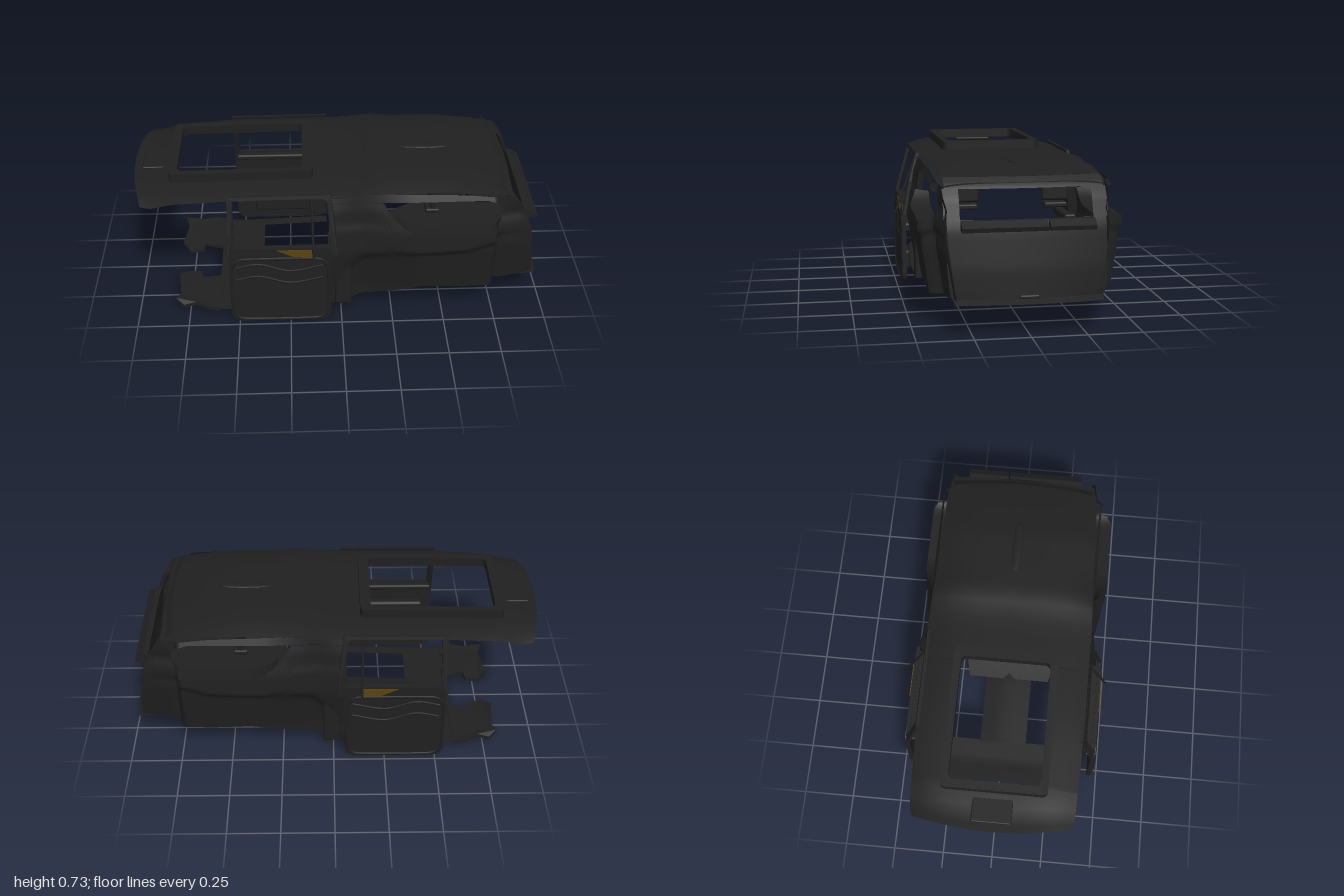
import * as THREE from 'three';
import { RoundedBoxGeometry } from 'three/addons/geometries/RoundedBoxGeometry.js';

const trim = new THREE.MeshStandardMaterial({ color: 0x202020, side: THREE.DoubleSide });
const gold = new THREE.MeshStandardMaterial({ color: 0x5a4510, side: THREE.DoubleSide });

// piecewise linear lookup through [key, value] pairs
function at(t, pts) {
  if (t <= pts[0][0]) return pts[0][1];
  for (let i = 1; i < pts.length; i++) {
    const [a, va] = pts[i - 1], [b, vb] = pts[i];
    if (t <= b) return va + (vb - va) * (t - a) / (b - a);
  }
  return pts[pts.length - 1][1];
}
const steps = (a, b, n) => Array.from({ length: n + 1 }, (_, i) => a + (b - a) * i / n);

// surface through a grid of points, us by vs
function sheet(us, vs, fn) {
  const pos = [], index = [], n = vs.length;
  us.forEach(u => vs.forEach(v => pos.push(...fn(u, v))));
  for (let i = 0; i < us.length - 1; i++) for (let j = 0; j < n - 1; j++) {
    const a = i * n + j, b = a + n;
    index.push(a, b, a + 1, b, b + 1, a + 1);
  }
  const g = new THREE.BufferGeometry();
  g.setAttribute('position', new THREE.Float32BufferAttribute(pos, 3));
  g.setIndex(index);
  g.computeVertexNormals();
  return g;
}
function roundRect(C, x0, y0, x1, y1, r) {
  const s = new C();
  s.moveTo(x0 + r, y0).lineTo(x1 - r, y0).quadraticCurveTo(x1, y0, x1, y0 + r);
  s.lineTo(x1, y1 - r).quadraticCurveTo(x1, y1, x1 - r, y1);
  s.lineTo(x0 + r, y1).quadraticCurveTo(x0, y1, x0, y1 - r);
  s.lineTo(x0, y0 + r).quadraticCurveTo(x0, y0, x0 + r, y0);
  return s;
}
const extrude = (shape, depth) =>
  new THREE.ExtrudeGeometry(shape, { depth, bevelEnabled: false, curveSegments: 6 });
const polygon = pts => new THREE.Shape(pts.map(p => new THREE.Vector2(p[0], p[1])));
// move every vertex by a rule
function bend(g, rule) {
  const p = g.attributes.position;
  for (let i = 0; i < p.count; i++) p.setXYZ(i, ...rule(p.getX(i), p.getY(i), p.getZ(i)));
  g.computeVertexNormals();
  return g;
}

// headliner form
const roofHalf = x => at(x, [[-1, .37], [-.95, .385], [-.6, .395], [0, .4], [.2, .392], [.72, .38], [.82, .36]]);
const roofY = (x, z) => at(x, [[-1, .672], [-.93, .668], [-.8, .686], [-.5, .694], [0, .697], [.1, .704],
  [.16, .72], [.5, .717], [.65, .695], [.82, .662]])
  - at(x, [[-1, .045], [-.5, .027], [.1, .027], [.3, .04], [.6, .03], [.82, .015]]) * Math.abs(z / roofHalf(x)) ** 4;
const sunHole = x => at(x, [[-.781, 0], [-.78, .19], [-.765, .215], [-.195, .215], [-.18, .19], [-.179, 0]]);

// rear side trim form
const sideTop = x => at(x, [[-.05, .675], [.2, .68], [.6, .67], [.78, .655], [.84, .64], [.9, .53], [.93, .42], [.95, .2]]);
const sideBottom = x => at(x, [[-.05, .055], [.05, .06], [.1, .09], [.25, .12], [.4, .16], [.6, .15], [.95, .17]]);
const winLow = x => at(x, [[.2, .64], [.24, .575], [.3, .52], [.38, .488], [.73, .488], [.76, .515], [.775, .58]]);
const winHigh = x => at(x, [[.2, .642], [.7, .645], [.74, .63], [.775, .58]]);
const ledge = x => at(x, [[-.02, .06], [.04, .28], [.1, .35], [.25, .385], [.6, .4], [.78, .46]]);
const unit = t => Math.min(1, Math.max(0, t));
function sideZ(x, y) {
  const base = at(y, [[.15, .435], [.38, .47], [.5, .463], [.6, .428], [.68, .387]]);
  const waist = at(x, [[-.06, .025], [.08, .05], [.35, 0]]) * unit((.68 - y) / .15);
  const tuck = at(x, [[.735, 0], [.752, .065], [.95, .112]]) * at(y, [[.55, 1], [.66, .35]]);
  return base - waist - tuck - .022 * unit((ledge(x) - y) / .02) * at(x, [[.74, 1], [.8, .3]]);
}

// tailgate form
const gateX = (y, z) => at(y, [[.155, .955], [.3, .945], [.48, .92], [.6, .87], [.655, .825], [.685, .785]])
  - .03 * (z / .35) ** 2;
const gateWide = y => at(y, [[.155, .92], [.19, .97], [.3, 1]]);

export function createModel() {
  const model = new THREE.Group();
  const add = (name, geometry, parent = model, material = trim) => {
    const m = new THREE.Mesh(geometry, material);
    m.name = name;
    parent.add(m);
    return m;
  };

  // headliner, two halves around the sunroof opening
  const roofXs = [-1, -.97, -.93, -.88, -.83, -.781, -.78, -.765, ...steps(-.7, -.25, 6), -.195, -.18, -.179, ...steps(-.1, .82, 20)];
  for (const s of [1, -1]) add('headliner', sheet(roofXs, steps(0, 1, 10), (x, v) => {
    const h = sunHole(x), z = s * (h + (roofHalf(x) - h) * v);
    const bow = .05 * Math.max(0, (-.8 - x) / .2) * (z / .37) ** 2;
    return [x + bow, roofY(x, z), z];
  }));

  // sunroof surround, slightly tilted up to the rear
  const ring = roundRect(THREE.Shape, -.82, -.25, -.13, .25, .03);
  ring.holes.push(roundRect(THREE.Path, -.78, -.215, -.18, .215, .03));
  add('sunroofSurround', bend(extrude(ring, .045).rotateX(-Math.PI / 2),
    (x, y, z) => [x, y + .687 + .015 * (x + .48), z]));

  // overhead console and centre roof rib
  add('overheadConsole', new RoundedBoxGeometry(.16, .015, .19, 2, .006)).position.set(-.88, .672, 0);
  const rib = add('roofRib', new THREE.SphereGeometry(1, 20, 10));
  rib.scale.set(.14, .008, .025);
  rib.position.set(.42, .716, 0);

  const sideXs = [...steps(-.06, .2, 10), ...steps(.22, .72, 18), .735, .744, .752, .76, .768, .775, .79, ...steps(.81, .95, 6)];
  for (const s of [1, -1]) {
    const side = new THREE.Group();
    side.name = s > 0 ? 'leftSide' : 'rightSide';
    model.add(side);

    // rear side trim below and above the quarter window
    add('rearSideTrim', sheet(sideXs, steps(0, 1, 28), (x, v) => {
      const b = sideBottom(x), y = b + (Math.min(winLow(x), sideTop(x)) - b) * v;
      return [x, y, s * sideZ(x, y)];
    }), side);
    add('quarterWindowHeader', sheet(sideXs, steps(0, 1, 4), (x, v) => {
      const b = Math.min(winHigh(x), sideTop(x)), y = b + (sideTop(x) - b) * v;
      return [x, y, s * sideZ(x, y)];
    }), side);
    // sill inside the quarter window
    add('quarterWindowSill', sheet([...steps(.26, .74, 14), .75, .765], [0, .5, 1], (x, v) => {
      const y = winLow(x), z = sideZ(x, y);
      return [x, y - .012 * v, s * (z + (.365 - z) * v)];
    }), side);
    // centre pillar: lower cover and inward return
    add('pillarCover', new RoundedBoxGeometry(.08, .31, .06, 2, .01), side).position.set(.01, .215, s * .385);
    add('pillarReturn', sheet(steps(.06, .67, 14), [0, 1],
      (y, v) => [-.055 + .05 * v, y, s * (sideZ(-.06, y) - .06 * v)]), side);

    // front door: lower panel, shelf, armrest, seal and leaning window frame
    const door = new THREE.Group();
    door.name = 'frontDoor';
    side.add(door);
    const panel = roundRect(THREE.Shape, -.54, .012, -.052, .44, .06);
    add('doorPanel', extrude(panel, .02).translate(0, 0, s > 0 ? .45 : -.47), door);
    const sealPts = roundRect(THREE.Path, -.53, .022, -.065, .38, .07).getPoints(5).slice(0, -1)
      .map(p => new THREE.Vector3(p.x, p.y, s * .468));
    add('doorSeal', new THREE.TubeGeometry(new THREE.CatmullRomCurve3(sealPts, true), 80, .008, 6, true), door);
    add('doorShelf', new RoundedBoxGeometry(.47, .03, .045, 2, .01), door).position.set(-.295, .415, s * .44);
    add('doorArmrest', new RoundedBoxGeometry(.4, .05, .05, 2, .015), door).position.set(-.29, .3, s * .435);
    add('doorPocket', new RoundedBoxGeometry(.3, .1, .035, 2, .015), door).position.set(-.29, .12, s * .44);
    for (const drop of [0, .07]) {
      const crease = [[-.51, .33], [-.4, .35], [-.25, .31], [-.09, .34]]
        .map(p => new THREE.Vector3(p[0], p[1] - drop, s * .469));
      add('doorCrease', new THREE.TubeGeometry(new THREE.CatmullRomCurve3(crease), 24, .006, 6), door);
    }
    add('doorInlay', extrude(polygon([[-.31, .432], [-.14, .432], [-.14, .39], [-.23, .394]]), .004)
      .translate(0, 0, s > 0 ? .471 : -.475), door, gold);

    const frame = polygon([[-.54, .38], [-.02, .38], [-.03, .55], [-.05, .69], [-.54, .685]]);
    frame.holes.push(new THREE.Path([[-.513, .44], [-.513, .668], [-.09, .675], [-.068, .66], [-.05, .44]]
      .map(p => new THREE.Vector2(...p))));
    add('windowFrame', bend(extrude(frame, .016), (x, y, z) =>
      [x, y, s * at(y, [[.38, .46], [.44, .458], [.69, .388]]) + z - .008]), door);
    const bar = new THREE.LineCurve3(new THREE.Vector3(-.14, .69, s * .383), new THREE.Vector3(-.135, .375, s * .498));
    add('windowBar', new THREE.TubeGeometry(bar, 1, .006, 6), door);

    // rear headrest
    const rest = new THREE.Group();
    rest.name = 'headrest';
    rest.position.set(.45, 0, s * .213);
    side.add(rest);
    add('headrestPad', new RoundedBoxGeometry(.03, .11, .13, 3, .014), rest).position.y = .572;
    add('headrestBase', new RoundedBoxGeometry(.07, .025, .11, 2, .008), rest).position.y = .5;
  }

  // tailgate around the rear window
  const zs = [-.355, -.325, ...steps(-.295, .295, 12), .325, .355];
  add('tailgatePanel', sheet(zs, [.155, .165, .19, ...steps(.22, .515, 10)],
    (z, y) => [gateX(y, z), y, z * gateWide(y)]));
  add('tailgateHeader', sheet(zs, steps(.64, .685, 4), (z, y) => [gateX(y, z), y, z]));
  for (const s of [1, -1])
    add('tailgatePost', sheet([.295, .325, .365], steps(.515, .64, 6), (z, y) => [gateX(y, z), y, s * z]));
  add('tailgateLip', sheet(steps(-.33, .33, 12), [0, .5, 1],
    (z, v) => [gateX(.155, z) + .038 * v, .175 - .018 * v, z]));
  for (const [z0, z1] of [[-.295, -.09], [-.083, .295]])
    add('tailgateLedge', extrude(polygon([[.895, .515], [.92, .515], [.96, .49], [.955, .47], [.905, .472]]), z1 - z0)
      .translate(0, 0, z0));
  add('tailgateHandle', new RoundedBoxGeometry(.02, .02, .09, 2, .008)).position.set(.95, .18, 0);

  // rear floor rising to the load bay
  add('rearFloor', sheet([-.05, .1, .25, .4, .6, .95], steps(-1, 1, 6), (x, v) => [
    x, at(x, [[-.05, .06], [.1, .085], [.4, .155], [.95, .16]]),
    v * at(x, [[-.05, .21], [.1, .24], [.4, .34], [.75, .35], [.95, .325]])]));

  // front floor: cross band, tunnel, sill strips and two footwells
  const floorY = x => at(x, [[-.82, .072], [-.79, .05], [-.7, .052], [-.62, .036], [-.5, .026], [-.05, .045]]);
  const floorPart = (name, x0, x1, z0, z1, crown = 0) => add(name, sheet(steps(x0, x1, 8), steps(z0, z1, 4),
    (x, z) => [x, floorY(x) + crown * Math.max(0, 1 - Math.abs(z) / .12), z]));
  floorPart('crossFloor', -.61, -.39, -.4, .4);
  floorPart('tunnel', -.4, 0, -.12, .12, .02);
  for (const s of [1, -1]) {
    floorPart('sillStrip', -.4, -.05, s * .34, s * .4);
    const well = polygon([[-.82, .14], [-.8, .3], [-.82, .36], [-.78, .39], [-.72, .37], [-.66, .4], [-.6, .4],
      [-.59, .12], [-.64, .14], [-.7, .15], [-.71, .1], [-.78, .09]]);
    add('footwell', bend(extrude(well, .018).rotateX(Math.PI / 2), (x, y, z) =>
      [x, y + floorY(x) + .006 - .012 * unit((-.6 - x) / .15) * unit((.3 - z) / .15), s * z]));
  }
  return model;
}
